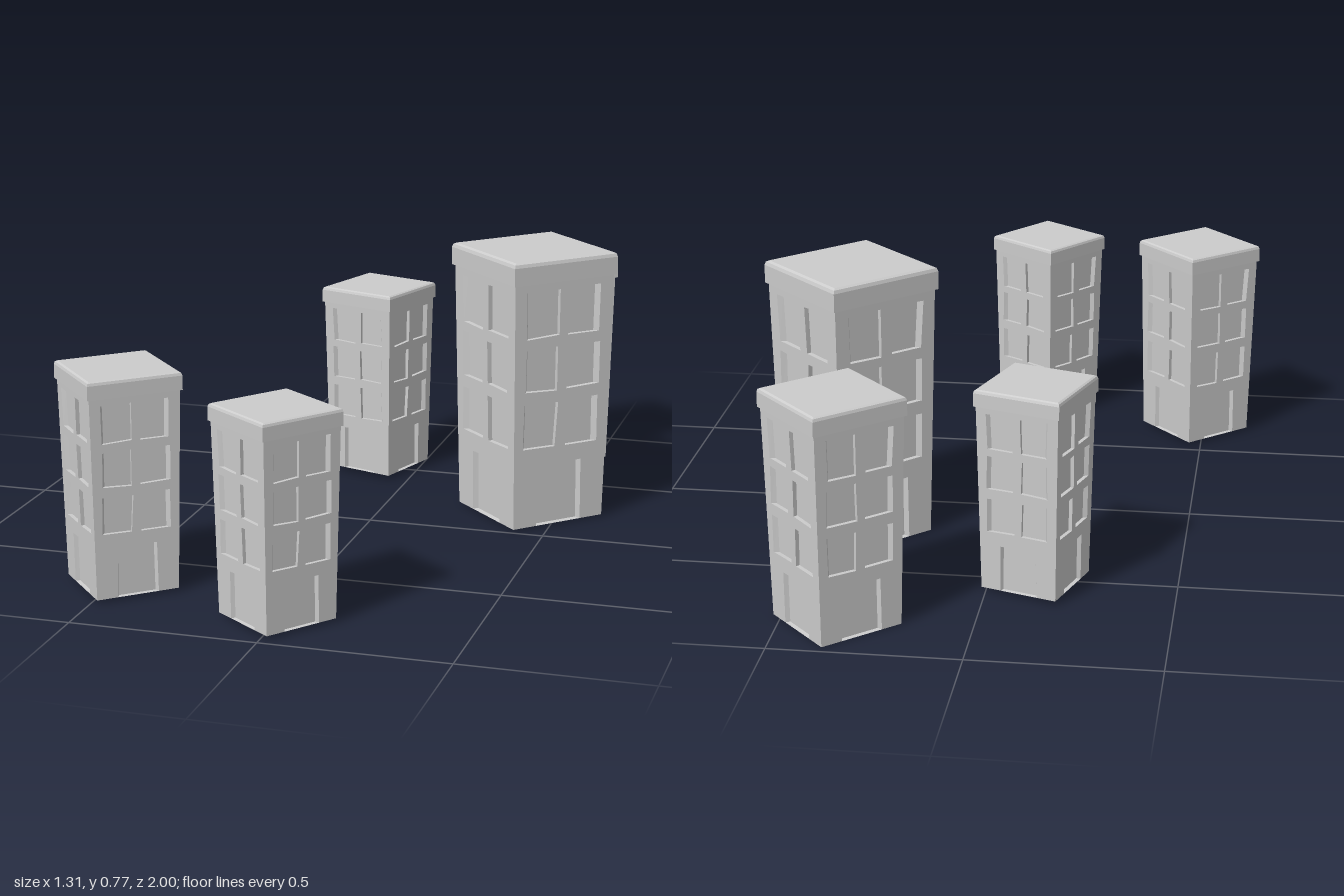
import * as THREE from 'three';

const WALL_H = 0.703, BASE = 0.1475, TOP = 0.161, DEPTH = 0.014;
const halfWidth = (y) => BASE + (TOP - BASE) * y / WALL_H; // walls flare upwards

// small seeded wobble for the hand-cut look of the windows
function makeWobble(seed) {
  let s = seed;
  return () => {
    s = (s * 16807) % 2147483647;
    return (s / 2147483647 - 0.5) * 0.009;
  };
}

// one wall: a flared slab with six window holes and a door notch
function wallGeometry(seed) {
  const wobble = makeWobble(seed);
  const wall = new THREE.Shape([
    [-BASE, 0], [-0.072, 0], [-0.069, 0.175], [0.07, 0.178], [0.074, 0],
    [BASE, 0], [TOP, WALL_H], [-TOP, WALL_H],
  ].map(([x, y]) => new THREE.Vector2(x, y)));

  for (const [y0, y1] of [[0.228, 0.357], [0.392, 0.517], [0.547, 0.68]]) {
    for (const side of [-1, 1]) {
      const a = side * 0.067 - 0.052, b = side * 0.067 + 0.052;
      const corners = [[a, y0], [a, y1], [b, y1], [b, y0]];
      wall.holes.push(new THREE.Path(corners.map(
        ([x, y]) => new THREE.Vector2(x + wobble(), y + wobble() * 0.7))));
    }
  }

  const geo = new THREE.ExtrudeGeometry(wall, { depth: DEPTH, bevelEnabled: false });
  // lean the slab with the flare and mitre its inner edges
  const p = geo.attributes.position;
  for (let i = 0; i < p.count; i++) {
    const h = halfWidth(p.getY(i)), inset = DEPTH - p.getZ(i);
    p.setXYZ(i, p.getX(i) * (h - inset) / h, p.getY(i), h - inset);
  }
  geo.computeVertexNormals();
  return geo;
}

// square solid from a half-width / height profile
function squareLathe(profile) {
  const points = profile.map(([r, y]) => new THREE.Vector2(r * Math.SQRT2, y));
  return new THREE.LatheGeometry(points, 4, Math.PI / 4);
}

export function createModel() {
  const model = new THREE.Group();
  model.name = 'buildings';
  const material = new THREE.MeshStandardMaterial({ color: 0xcccccc, flatShading: true });

  const walls = [11, 257, 4099, 70001].map(wallGeometry);
  // recessed panes, doors and base
  const core = squareLathe([[0, 0], [BASE, 0], [BASE - DEPTH, 0.002], [TOP - DEPTH, WALL_H]]);
  // overhanging roof cap with a chamfered rim
  const roof = squareLathe([
    [TOP - DEPTH, WALL_H], [0.168, WALL_H], [0.168, 0.753], [0.165, 0.762], [0.158, 0.766], [0, 0.766],
  ]);

  const add = (parent, geometry, name) => {
    const mesh = new THREE.Mesh(geometry, material);
    mesh.name = name;
    parent.add(mesh);
    return mesh;
  };

  // x, y, z, scale, turn in degrees
  const sites = [
    ['tallBuilding', 0.414, 0.006, -0.219, 1, -45],
    ['backLeftBuilding', 0.354, 0, -0.807, 0.809, -47.4],
    ['backRightBuilding', -0.124, 0.011, -0.521, 0.723, -18.4],
    ['frontRightBuilding', -0.474, 0.009, 0.695, 0.764, -48],
    ['frontMiddleBuilding', -0.003, 0.01, 0.828, 0.72, -36.9],
  ];
  for (const [name, x, y, z, scale, turn] of sites) {
    const building = new THREE.Group();
    building.name = name;
    add(building, core, 'panesAndDoors');
    add(building, roof, 'roofCap');
    walls.forEach((geo, i) => {
      add(building, geo, 'wall').rotation.y = i * Math.PI / 2;
    });
    building.position.set(x, y, z);
    building.scale.setScalar(scale);
    building.rotation.y = THREE.MathUtils.degToRad(turn);
    model.add(building);
  }
  return model;
}
